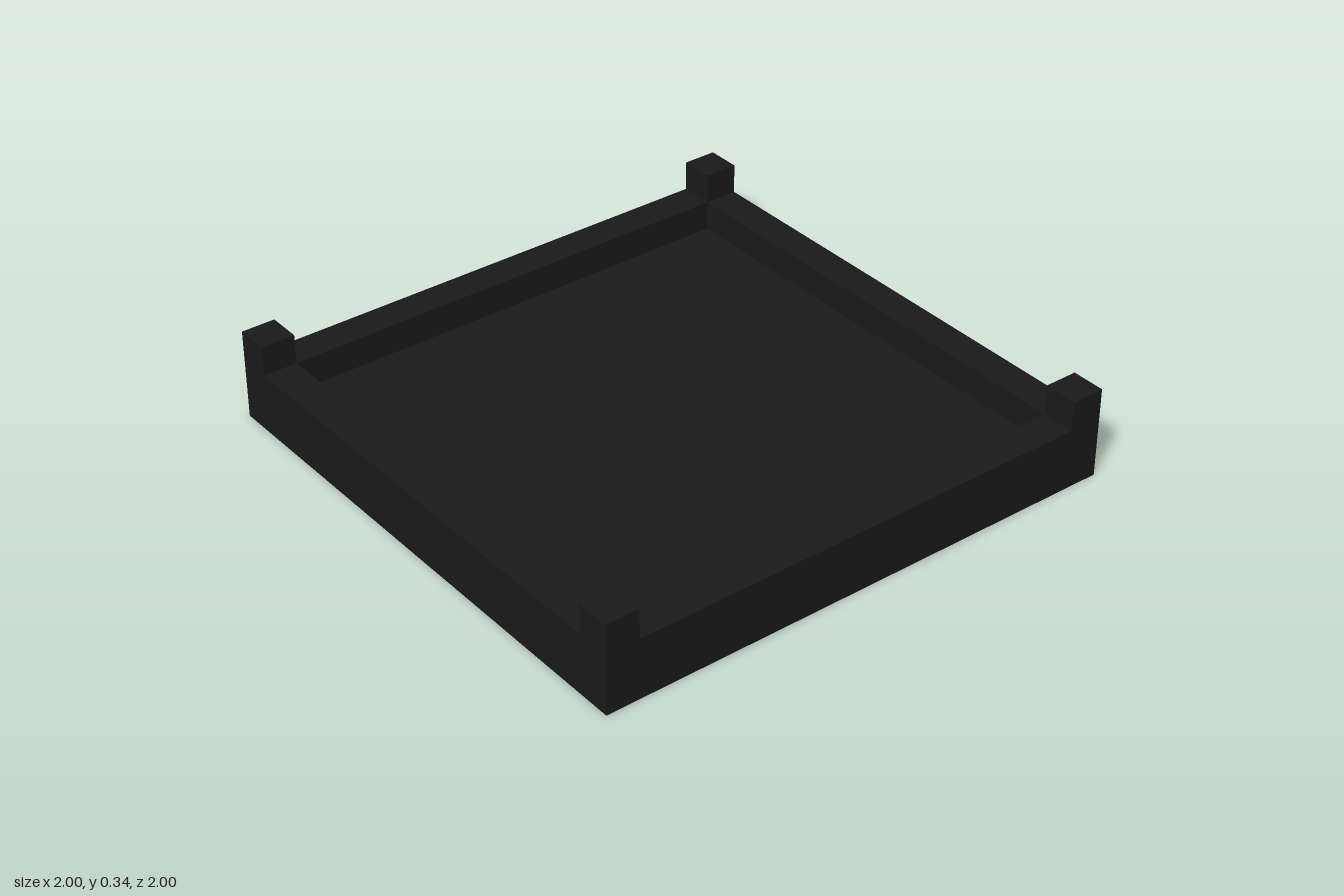
import * as THREE from 'three';

const HALF = 1, WALL = 0.125, FLOOR_TOP = 0.115, RIM_TOP = 0.225, POST_TOP = 0.335;

function squarePath(PathType, h) {
  return new PathType([[-h, -h], [h, -h], [h, h], [-h, h]].map(([x, y]) => new THREE.Vector2(x, y)));
}

export function createModel() {
  const model = new THREE.Group();
  model.name = 'tray';
  const material = new THREE.MeshStandardMaterial({ color: 0x1a1a1a });

  function add(name, geometry, x = 0, y = 0, z = 0) {
    const mesh = new THREE.Mesh(geometry, material);
    mesh.name = name;
    mesh.position.set(x, y, z);
    model.add(mesh);
  }

  const inner = HALF - WALL;

  // Square wall frame
  const frame = squarePath(THREE.Shape, HALF);
  frame.holes.push(squarePath(THREE.Path, inner));
  add('wallFrame', new THREE.ExtrudeGeometry(frame, { depth: RIM_TOP, bevelEnabled: false }).rotateX(-Math.PI / 2));

  // Recessed floor
  add('floor', new THREE.BoxGeometry(inner * 2, FLOOR_TOP, inner * 2), 0, FLOOR_TOP / 2, 0);

  // Corner posts standing on the rim
  const postHeight = POST_TOP - RIM_TOP;
  const postGeometry = new THREE.BoxGeometry(WALL, postHeight, WALL);
  const offset = HALF - WALL / 2;
  for (const [side, x] of [['Left', offset], ['Right', -offset]]) {
    for (const [end, z] of [['front', offset], ['back', -offset]]) {
      add(`${end}${side}Post`, postGeometry, x, RIM_TOP + postHeight / 2, z);
    }
  }

  return model;
}
